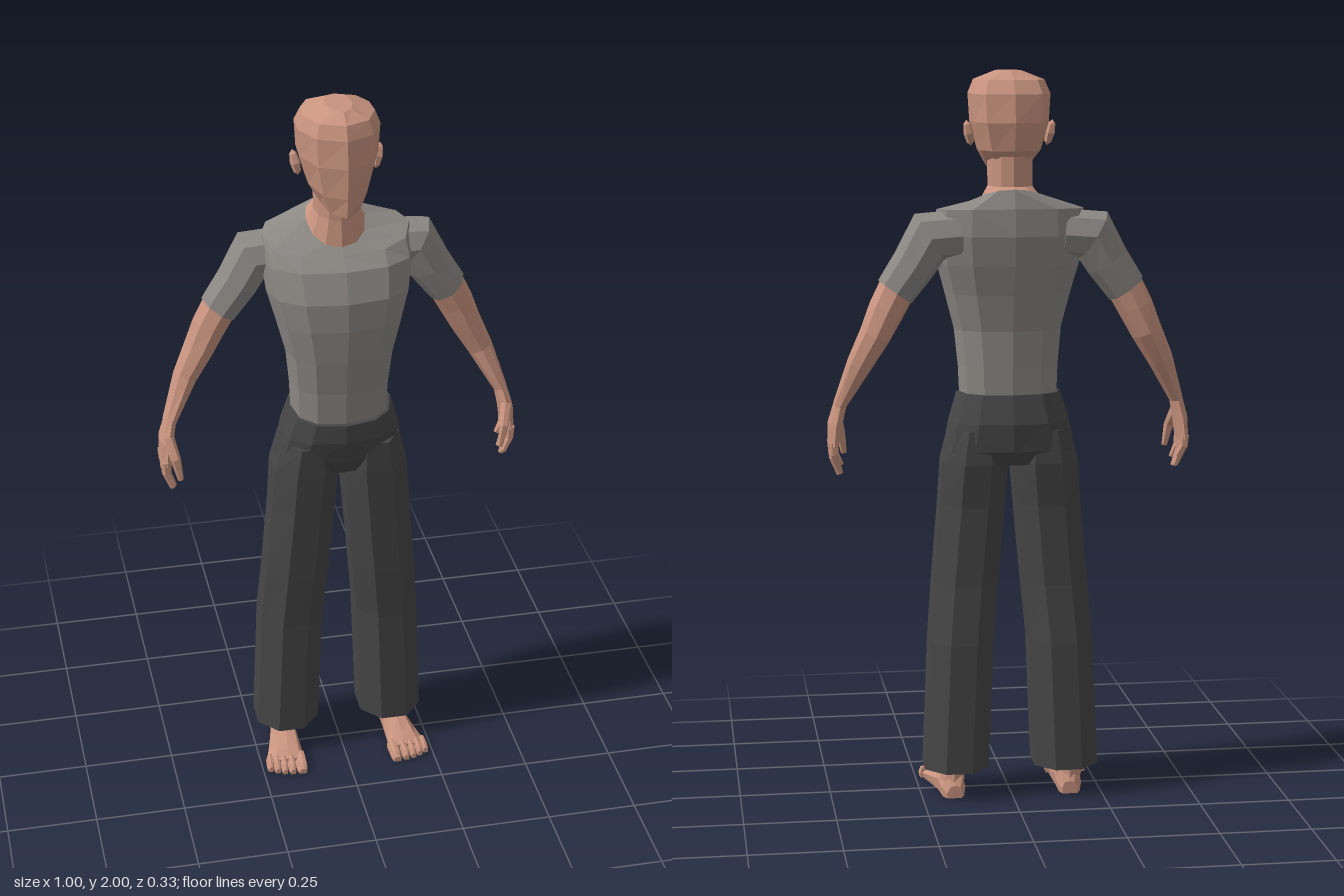
import * as THREE from 'three';

const V = (x, y, z) => new THREE.Vector3(x, y, z);

// Skin a list of rings (equal point counts) and close both ends; faces always point outward
function loft(rings) {
  const tris = [], n = rings[0].length;
  for (let i = 0; i < rings.length - 1; i++)
    for (let j = 0; j < n; j++) {
      const k = (j + 1) % n, a = rings[i], b = rings[i + 1];
      tris.push([a[j], a[k], b[k]], [a[j], b[k], b[j]]);
    }
  const cap = (r, flip) => {
    const c = r.reduce((s, p) => s.add(p), V(0, 0, 0)).divideScalar(n);
    for (let j = 0; j < n; j++) {
      const k = (j + 1) % n;
      tris.push(flip ? [c, r[k], r[j]] : [c, r[j], r[k]]);
    }
  };
  cap(rings[0], true);
  cap(rings[rings.length - 1], false);
  const o = rings[0][0];
  let vol = 0;
  for (const [a, b, c] of tris)
    vol += a.clone().sub(o).dot(b.clone().sub(o).cross(c.clone().sub(o)));
  const pts = tris.flatMap(([a, b, c]) => (vol < 0 ? [a, c, b] : [a, b, c]));
  const g = new THREE.BufferGeometry().setFromPoints(pts);
  g.computeVertexNormals();
  return g;
}

// Horizontal rounded ring; df and db shift the height at the front and back
function ring({ y, cx = 0, hw, zf, zb, n = 12, off = 0, e = 0.82, df = 0, db = 0 }) {
  const k = 1 / Math.cos(off), pts = [];
  const pw = v => Math.sign(v) * Math.pow(Math.abs(v) < 1e-6 ? 0 : Math.abs(v), e);
  for (let i = 0; i < n; i++) {
    const a = off + (i / n) * Math.PI * 2;
    const c = pw(Math.cos(a) * k), s = pw(Math.sin(a) * k);
    pts.push(V(cx + hw * c, y + (s > 0 ? s * df : -s * db), (zf + zb) / 2 + s * (zf - zb) / 2));
  }
  return pts;
}

// Limb along points [x, y, z, radius across, radius in depth], mirrored by side
function limb(path, side, n = 8) {
  const P = path.map(p => V(p[0], p[1], p[2]));
  return loft(path.map((p, i) => {
    const t = P[Math.min(i + 1, P.length - 1)].clone().sub(P[Math.max(i - 1, 0)]).normalize();
    const u = t.clone().cross(V(0, 0, 1)).normalize(), w = u.clone().cross(t).normalize();
    return Array.from({ length: n }, (_, j) => {
      const a = (j / n) * Math.PI * 2;
      const q = P[i].clone().addScaledVector(u, Math.cos(a) * p[3]).addScaledVector(w, Math.sin(a) * p[4]);
      q.x *= side;
      return q;
    });
  }));
}

export function createModel() {
  const material = (name, color) => {
    const m = new THREE.MeshStandardMaterial({ color, flatShading: true });
    m.name = name;
    return m;
  };
  const skin = material('skin', 0xc9947f);
  const shirt = material('shirt grey', 0x8d8985);
  const cloth = material('trouser charcoal', 0x464646);

  const model = new THREE.Group();
  model.name = 'standingMan';
  const add = (name, geo, mat) => {
    const m = new THREE.Mesh(geo, mat);
    m.name = name;
    model.add(m);
    return m;
  };

  // Shirt body, ending in the dipped neckline that the neck grows from
  const neckline = ring({ y: 1.657, hw: 0.08, zf: 0.035, zb: -0.142, df: -0.05, db: 0.028, e: 0.95 });
  add('shirtBody', loft([
    ...[
      [1.08, 0.133, 0.088, -0.108],
      [1.2, 0.138, 0.098, -0.11],
      [1.3, 0.148, 0.114, -0.112],
      [1.4, 0.174, 0.123, -0.13],
      [1.48, 0.196, 0.122, -0.15],
      [1.56, 0.205, 0.092, -0.163],
    ].map(([y, hw, zf, zb]) => ring({ y, hw, zf, zb })),
    ring({ y: 1.628, hw: 0.2, zf: 0.055, zb: -0.158, df: -0.038, db: 0.005 }),
    neckline,
  ]), shirt);

  // Neck
  add('neck', loft([
    neckline,
    ring({ y: 1.69, hw: 0.061, zf: 0.028, zb: -0.122, e: 0.95, df: -0.01 }),
    ring({ y: 1.79, hw: 0.062, zf: 0.03, zb: -0.122, e: 0.95 }),
  ]), skin);

  // Head: faceted, with a ridge down the middle of the face
  const outline = [[0, 1], [0.68, 0.74], [1, 0.15], [0.97, -0.4], [0.7, -0.84], [0, -1],
    [-0.7, -0.84], [-0.97, -0.4], [-1, 0.15], [-0.68, 0.74]];
  add('head', loft([
    [1.74, 0.056, 0.102, -0.11, -0.02, 0.02],
    [1.785, 0.083, 0.11, -0.142, -0.01, 0],
    [1.86, 0.104, 0.115, -0.16, 0, 0],
    [1.935, 0.109, 0.106, -0.15, 0, 0],
    [1.972, 0.094, 0.09, -0.125, 0, 0],
    [1.995, 0.035, 0.052, -0.075, 0, 0],
  ].map(([y, hw, zf, zb, df, db]) => outline.map(([x, s]) =>
    V(x * hw, y + (s > 0 ? s * df : -s * db), (zf + zb) / 2 + s * (zf - zb) / 2)))), skin);

  // Hips of the trousers
  add('trouserHips', loft([
    ring({ y: 1.128, hw: 0.143, zf: 0.1, zb: -0.117, df: -0.025 }),
    ring({ y: 1.05, hw: 0.167, zf: 0.102, zb: -0.14 }),
    ring({ y: 0.975, hw: 0.182, zf: 0.088, zb: -0.137, df: 0.01 }),
    ring({ y: 0.935, hw: 0.13, zf: 0.06, zb: -0.115 }),
  ]), cloth);

  for (const side of [1, -1]) {
    const label = part => (side > 0 ? 'left' : 'right') + part;

    // Ear
    const ear = add(label('Ear'), new THREE.SphereGeometry(1, 6, 4), skin);
    ear.scale.set(0.014, 0.036, 0.021);
    ear.position.set(side * 0.11, 1.83, -0.035);
    ear.rotation.set(-0.15, 0, -side * 0.2);

    // Short sleeve
    add(label('Sleeve'), limb([
      [0.14, 1.562, -0.075, 0.066, 0.07],
      [0.222, 1.556, -0.077, 0.074, 0.07],
      [0.262, 1.485, -0.075, 0.061, 0.066],
      [0.315, 1.41, -0.075, 0.055, 0.061],
    ], side), shirt);

    // Bare arm
    add(label('Arm'), limb([
      [0.307, 1.423, -0.075, 0.051, 0.057],
      [0.34, 1.36, -0.079, 0.049, 0.057],
      [0.37, 1.295, -0.08, 0.043, 0.056],
      [0.412, 1.215, -0.07, 0.035, 0.043],
      [0.464, 1.1, -0.035, 0.019, 0.034],
    ], side), skin);

    // Hand: palm, four curled fingers and thumb
    add(label('Palm'), limb([
      [0.461, 1.11, -0.036, 0.018, 0.032],
      [0.476, 1.05, -0.028, 0.021, 0.05],
      [0.482, 0.99, -0.027, 0.016, 0.056],
    ], side), skin);
    [[0.014, 0.925], [-0.012, 0.905], [-0.039, 0.912], [-0.066, 0.94]].forEach(([z, tip], i) =>
      add(label('Finger' + (i + 1)), limb([
        [0.483, 1.0, z, 0.013, 0.013],
        [0.481, 0.5 * (1 + tip), z, 0.012, 0.012],
        [0.464, tip, z + 0.004, 0.008, 0.008],
      ], side, 6), skin));
    add(label('Thumb'), limb([
      [0.472, 1.065, 0.0, 0.016, 0.02],
      [0.459, 1.015, 0.034, 0.014, 0.014],
      [0.448, 0.955, 0.04, 0.008, 0.008],
    ], side, 6), skin);

    // Trouser leg: height, inner x, outer x, front z, back z
    add(label('TrouserLeg'), loft([
      [1.03, 0.02, 0.162, 0.085, -0.12],
      [0.94, 0.006, 0.186, 0.083, -0.127],
      [0.82, 0.016, 0.194, 0.079, -0.118],
      [0.6, 0.035, 0.213, 0.07, -0.12],
      [0.44, 0.05, 0.226, 0.058, -0.14],
      [0.08, 0.064, 0.241, 0.055, -0.143],
    ].map(([y, xi, xo, zf, zb]) => ring({
      y, cx: side * (xi + xo) / 2, hw: (xo - xi) / 2, zf, zb, n: 8, off: Math.PI / 8, e: 1,
    }))), cloth);

    // Ankle
    add(label('Ankle'), limb([
      [0.155, 0.22, -0.05, 0.036, 0.044],
      [0.16, 0.1, -0.052, 0.031, 0.042],
      [0.163, 0.04, -0.054, 0.034, 0.045],
    ], side), skin);

    // Foot: cross-sections from heel to ball
    const slice = ([z, cx, hw, h]) => [
      [-0.9, 0], [0.9, 0], [1, 0.4], [0.5, 0.9], [-0.15, 1], [-0.75, 0.9], [-1, 0.4],
    ].map(([x, y]) => V(side * (cx + x * hw), y * h, z));
    add(label('Foot'), loft([
      [-0.105, 0.162, 0.022, 0.035],
      [-0.085, 0.163, 0.033, 0.065],
      [-0.02, 0.166, 0.036, 0.084],
      [0.035, 0.172, 0.044, 0.06],
      [0.09, 0.179, 0.053, 0.04],
      [0.118, 0.181, 0.055, 0.026],
    ].map(slice)), skin);

    // Toes, big toe on the inner side
    [[0.14, 0.016, 0.163], [0.168, 0.011, 0.16], [0.19, 0.01, 0.156], [0.21, 0.01, 0.148], [0.229, 0.01, 0.137]]
      .forEach(([x, hw, tip], i) => add(label('Toe' + (i + 1)), loft([
        [0.095, x - 0.002, hw, 0.033],
        [tip - 0.015, x, hw, 0.028],
        [tip, x, hw * 0.7, 0.016],
      ].map(slice)), skin));
  }
  return model;
}
